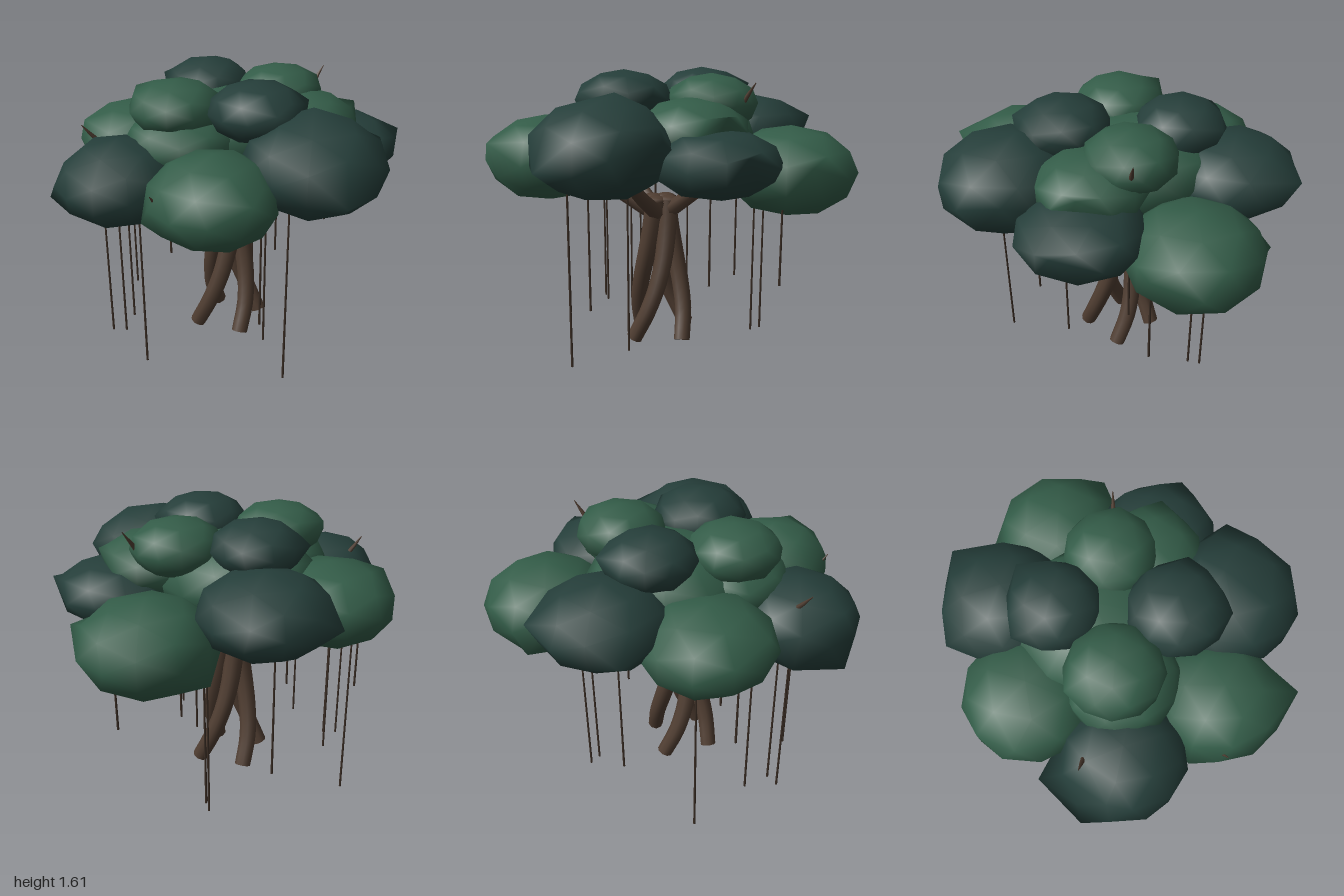
import * as THREE from 'three';

const mat = (color, side = THREE.FrontSide) => new THREE.MeshStandardMaterial({ color, side });
const V = (x, y, z) => new THREE.Vector3(x, y, z);

// Tube along a smooth curve whose radius runs from r0 to r1, slowly at first
function taperedTube(curve, r0, r1, segments, sides) {
  const geo = new THREE.TubeGeometry(curve, segments, 1, sides, false);
  const pos = geo.attributes.position;
  const p = new THREE.Vector3();
  for (let i = 0; i <= segments; i++) {
    const c = curve.getPointAt(i / segments);
    const r = r1 + (r0 - r1) * Math.pow(1 - i / segments, 0.65);
    for (let j = 0; j <= sides; j++) {
      const k = i * (sides + 1) + j;
      p.fromBufferAttribute(pos, k).sub(c).multiplyScalar(r).add(c);
      pos.setXYZ(k, p.x, p.y, p.z);
    }
  }
  return geo;
}

// Smooth-shaded low-poly ellipsoid; each corner draws the nearest vertex out to it
function clumpGeometry(center, radius, height, yaw, corners) {
  const geo = new THREE.IcosahedronGeometry(1, 1);
  geo.rotateY(yaw).scale(radius, height, radius).translate(...center);
  const pos = geo.attributes.position;
  const p = new THREE.Vector3(), nearest = new THREE.Vector3();
  for (const corner of corners) {
    const target = V(...corner);
    let best = Infinity;
    for (let i = 0; i < pos.count; i++) {
      const d = p.fromBufferAttribute(pos, i).distanceTo(target);
      if (d < best) { best = d; nearest.copy(p); }
    }
    for (let i = 0; i < pos.count; i++) {
      if (p.fromBufferAttribute(pos, i).distanceTo(nearest) < 1e-4) pos.setXYZ(i, ...corner);
    }
  }
  return geo;
}

export function createModel() {
  const tree = new THREE.Group();
  tree.name = 'tree';
  const bark = mat(0x4f3d31, THREE.DoubleSide);
  const rootBark = mat(0x3a2d24);
  const light = mat(0x335c48);
  const dark = mat(0x253e3a);

  const add = (parent, name, geo, material) => {
    const mesh = new THREE.Mesh(geo, material);
    mesh.name = name;
    parent.add(mesh);
    return mesh;
  };
  const group = (name) => {
    const g = new THREE.Group();
    g.name = name;
    tree.add(g);
    return g;
  };

  // Four stems winding around each other
  const trunk = group('trunk');
  for (let s = 0; s < 4; s++) {
    const start = 1.3 + s * Math.PI / 2;
    const points = [];
    for (let i = 0; i <= 5; i++) {
      const t = i / 5;
      const a = start - 1.9 * t;
      const r = 0.056 + 0.145 * Math.pow(1 - t, 1.7);
      points.push(V(Math.cos(a) * r, 0.03 + 0.83 * t, Math.sin(a) * r));
    }
    const curve = new THREE.CatmullRomCurve3(points);
    add(trunk, 'stem', taperedTube(curve, 0.048, 0.062, 14, 9), bark);
    // Rounded stem top and a slanted foot
    const top = add(trunk, 'stemTop', new THREE.SphereGeometry(0.062, 9, 6), bark);
    top.position.copy(points[5]);
    top.scale.y = 0.4;
    const foot = add(trunk, 'stemFoot', new THREE.CircleGeometry(0.048, 9), bark);
    foot.position.copy(points[0]);
    foot.lookAt(points[0].clone().sub(curve.getTangent(0)));
  }

  // Branches spreading from the trunk, their tips poking out of the leaves
  const branches = group('branches');
  const addBranch = (x, y, z) => {
    const curve = new THREE.CatmullRomCurve3([
      V(x * 0.06, 0.78, z * 0.06),
      V(x * 0.45, 0.98, z * 0.45),
      V(x * 0.87, y - 0.12, z * 0.87),
      V(x, y, z),
    ]);
    add(branches, 'branch', taperedTube(curve, 0.048, 0.002, 14, 7), bark);
  };
  addBranch(-0.8, 1.36, 0.14);
  addBranch(0.58, 1.56, -0.28);
  addBranch(0.08, 1.34, -0.83);
  addBranch(-0.42, 1.22, 0.79);
  addBranch(0.55, 1.42, 0.58);

  // Hanging roots: x, z and, where the root stops short of the ground, its lower end
  const roots = group('hangingRoots');
  const rootList = [
    [0.26, 0.64], [0.19, 0.28], [-0.5, 0.43], [-0.64, 0.12], [-0.72, 0.11],
    [-0.6, -0.04], [-0.6, -0.46], [0.19, -0.59], [0.2, -0.52],
    [-0.7, -0.26, 0.58], [0.67, -0.41, 0.48], [0.31, -0.17, 0.39],
    [0.14, 0.49, 0.28], [-0.35, -0.01, 0.48], [-0.16, -0.6, 0.25],
  ];
  for (const [x, z, low = 0.02] of rootList) {
    const height = 1.1 - low;
    const root = add(roots, 'hangingRoot', new THREE.CylinderGeometry(0.005, 0.007, height, 5), rootBark);
    root.position.set(x, low + height / 2, z);
  }

  // Leaf clumps: center, radius, half height, turn, then any drawn-out corners
  const canopy = group('canopy');
  const addClump = (material, center, radius, height, yaw, ...corners) =>
    add(canopy, 'leafClump', clumpGeometry(center, radius, height, yaw, corners), material);

  // Outer ring
  addClump(dark, [0.4, 1.24, 0.49], 0.38, 0.26, 0.3, [0.78, 1.32, 0.32], [0.5, 1.16, 0.87], [0.4, 1.52, 0.42]);
  addClump(light, [-0.12, 1.13, 0.64], 0.34, 0.24, 0.9, [0.04, 1.25, 1], [-0.48, 1, 0.62]);
  addClump(dark, [-0.6, 1.1, 0.29], 0.345, 0.235, 0.2, [-0.99, 0.98, 0.22], [-0.88, 1.22, 0.32], [-0.88, 1.06, -0.07]);
  addClump(light, [-0.5, 1.14, -0.29], 0.37, 0.23, 0.6, [-0.83, 1.28, -0.2]);
  addClump(dark, [-0.1, 1.23, -0.62], 0.355, 0.22, 0.1, [0.03, 1.31, -1], [-0.45, 1.2, -0.81]);
  addClump(light, [0.48, 1.07, -0.57], 0.37, 0.25, 0.4, [0.86, 1.15, -0.46], [0.2, 1, -0.91]);
  addClump(dark, [0.63, 1.17, -0.03], 0.345, 0.18, 0.7, [0.98, 1.25, -0.02]);
  // Middle layer
  addClump(light, [-0.26, 1.26, 0.13], 0.32, 0.18, 0.5);
  addClump(light, [0.42, 1.31, 0], 0.305, 0.18, 0.2, [0.72, 1.41, -0.05]);
  addClump(light, [-0.02, 1.26, -0.12], 0.45, 0.24, 0.8);
  // Crown
  addClump(dark, [-0.1, 1.46, -0.31], 0.25, 0.155, 0.2, [-0.36, 1.5, -0.42], [0.01, 1.52, -0.57]);
  addClump(light, [0.3, 1.44, -0.17], 0.255, 0.16, 0.6, [0.53, 1.52, -0.22]);
  addClump(light, [-0.29, 1.44, 0.11], 0.26, 0.155, 0.35, [-0.51, 1.52, -0.06]);
  addClump(dark, [0.13, 1.46, 0.27], 0.265, 0.16, 0.75, [0.41, 1.5, 0.22], [0.2, 1.51, 0.54]);

  return tree;
}
